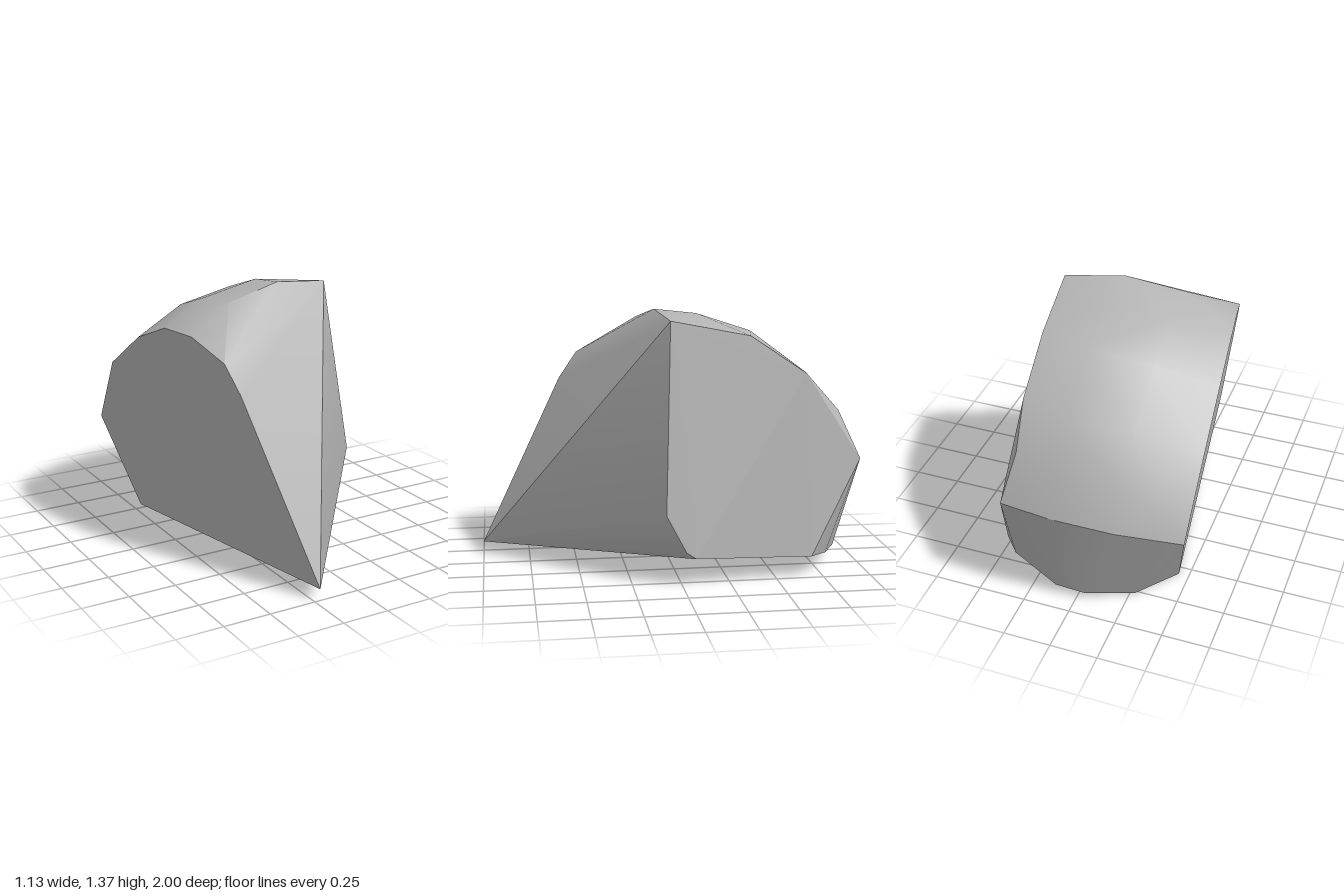
import * as THREE from 'three';
import { ConvexGeometry } from 'three/addons/geometries/ConvexGeometry.js';
import { toCreasedNormals } from 'three/addons/utils/BufferGeometryUtils.js';

const v = (x, y, z) => new THREE.Vector3(x, y, z);

// The three flat cuts of the fragment, as planes that its rim points lie on
const onLeftCut = (y, z) => v(-0.22 - 0.136 * (y - 0.065) + 0.151 * (z - 1), y, z);
const onRightCut = (y, z) => v(0.4 - 0.148 * (y - 1.335) + 0.15 * (z - 0.04), y, z);
const onBase = (x, z) => v(x, 0.065 + 0.13 * (x + 0.22) + 0.0226 * (z - 1), z);

export function createModel() {
  const group = new THREE.Group();
  group.name = 'rockFragment';
  const stone = new THREE.MeshStandardMaterial({ color: 0xb4b4b4 });
  stone.name = 'stone grey';

  const points = [
    // front tip
    v(-0.22, 0.065, 1),
    // rim of the cut on the -x side, from the front over the top to the base
    ...[[0.95, 0.56], [1.09, 0.46], [1.175, 0.21], [1.175, -0.02], [1.07, -0.29],
      [0.86, -0.6], [0.48, -0.83], [0.005, -0.55]].map(([y, z]) => onLeftCut(y, z)),
    // rim of the cut on the +x side
    ...[[1.335, 0.04], [1.25, -0.38], [1.05, -0.68], [0.6, -0.97], [0.11, -0.69],
      [0.145, -0.07], [0.18, -0.02], [0.37, 0.08]].map(([y, z]) => onRightCut(y, z)),
    // back rim of the base
    ...[[0.386, -0.785], [0.11, -0.9], [-0.04, -0.89], [-0.28, -0.775]].map(([x, z]) => onBase(x, z)),
    // domed outer surface: middle arc
    ...[[1.37, 0.085], [1.345, -0.14], [1.25, -0.43], [1.02, -0.74], [0.8, -0.91],
      [0.6, -1]].map(([y, z]) => v(0.08, y, z)),
    // domed outer surface: side arc
    ...[[1.305, 0.14], [1.28, -0.13], [1.19, -0.4], [0.975, -0.69], [0.77, -0.86],
      [0.573, -0.97]].map(([y, z]) => v(-0.24, y, z)),
    // shoulders of the dome
    v(-0.41, 1.24, 0.1), v(-0.39, 0.71, -0.85), v(0.305, 0.85, -0.86),
  ];

  const body = new THREE.Mesh(toCreasedNormals(new ConvexGeometry(points), Math.PI / 6), stone);
  body.name = 'stoneBody';
  group.add(body);
  return group;
}
